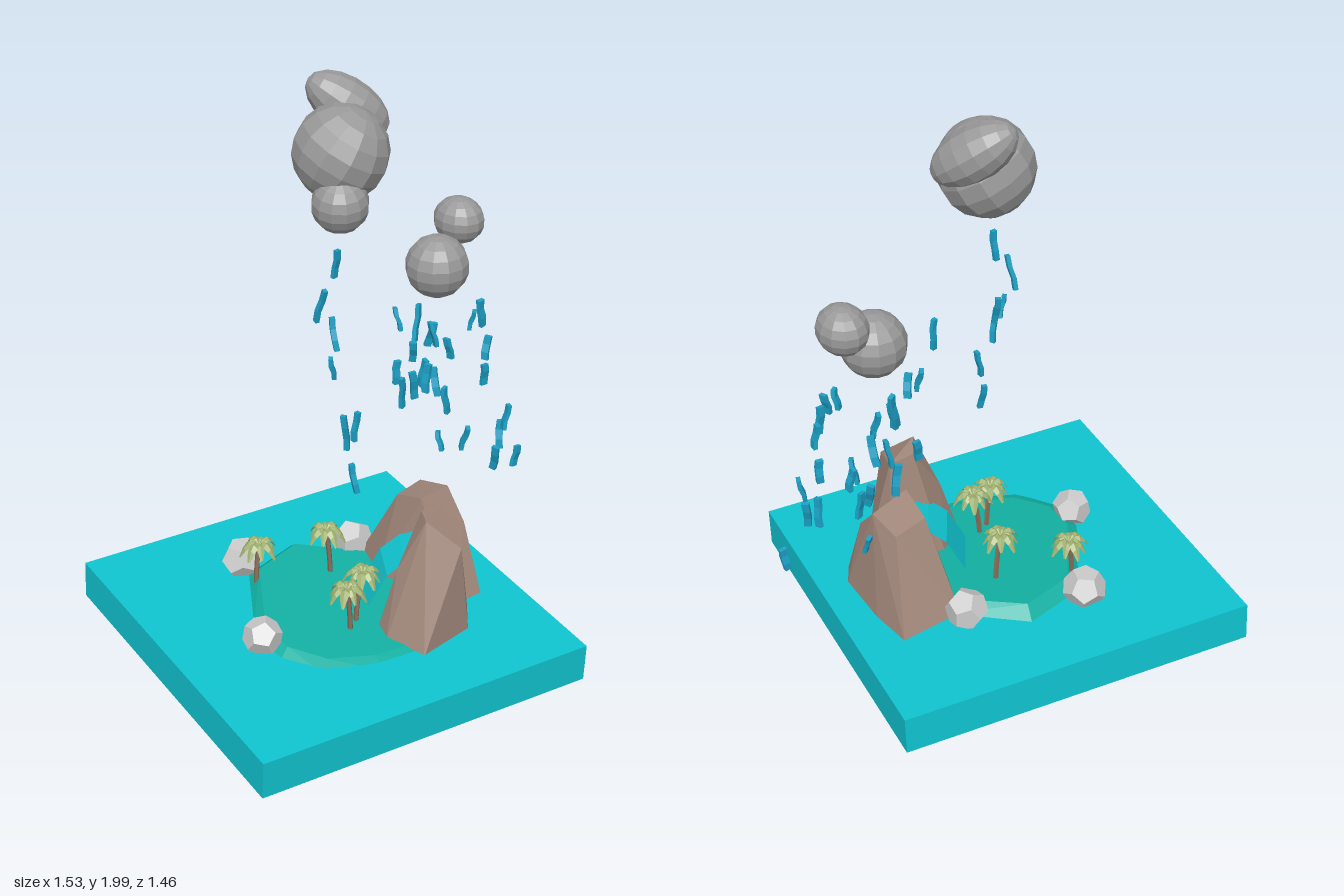
import * as THREE from 'three';
import { ConvexGeometry } from 'three/addons/geometries/ConvexGeometry.js';

const mat = (color, side = THREE.FrontSide) =>
  new THREE.MeshStandardMaterial({ color, flatShading: true, side });
const M = {
  water: mat(0x10c4d0), island: mat(0x12b0a2), rock: mat(0xa1877a), stone: mat(0xcccccc),
  cloud: mat(0x999999), rain: mat(0x1c9fc4), trunk: mat(0x8a6f5a),
  leaf: mat(0xa0b070, THREE.DoubleSide), fall: mat(0x10c4d0, THREE.DoubleSide),
};
const V = (x, y, z) => new THREE.Vector3(x, y, z);
// Height of the slightly tilted water surface
const ground = (x, z) => 0.17 - 0.0074 * (x + 0.03) - 0.0433 * z;

function add(parent, name, geometry, material, x = 0, y = 0, z = 0) {
  const mesh = new THREE.Mesh(geometry, material);
  mesh.name = name;
  mesh.position.set(x, y, z);
  parent.add(mesh);
  return mesh;
}

// Convex rock: footprint on the ground plus a few upper corners
function rock(parent, name, base, top) {
  const pts = base.map(([x, z]) => V(x, ground(x, z) - 0.01, z));
  add(parent, name, new ConvexGeometry([...pts, ...top.map((p) => V(...p))]), M.rock);
}

function palm(parent, [x, z, crown, lean]) {
  const g = new THREE.Group();
  g.name = 'palm';
  const y0 = ground(x, z) + 0.01;
  const head = V(x, crown, z);
  const path = new THREE.QuadraticBezierCurve3(
    V(x + lean, y0, z), V(x + lean * 0.9, (y0 + crown) / 2, z), head);
  add(g, 'trunk', new THREE.TubeGeometry(path, 4, 0.009, 5), M.trunk);
  // Drooping, folded fronds around the crown
  for (let i = 0; i < 9; i++) {
    const leaf = new THREE.PlaneGeometry(0.034, 0.075, 2, 4);
    const p = leaf.attributes.position;
    for (let k = 0; k < p.count; k++) {
      const t = (p.getY(k) + 0.0375) / 0.075;
      const w = p.getX(k) * (0.25 + 0.75 * Math.sin(Math.PI * Math.min(1, t * 0.95 + 0.05)));
      p.setXYZ(k, w, 0.055 * t * (1 - t) * 2 - 0.03 * t * t - Math.abs(w) * 0.6, t * 0.07);
    }
    leaf.computeVertexNormals();
    const frond = add(g, 'frond', leaf, M.leaf, head.x, head.y, head.z);
    frond.rotation.y = (i / 9) * Math.PI * 2 + x * 9;
    frond.scale.setScalar(i % 2 ? 0.85 : 1);
  }
  parent.add(g);
}

// Small bent streak of rain
function drop(parent, [x, y, z, h], i, width) {
  const geo = new THREE.BoxGeometry(width, h, 0.014, 1, 3, 1);
  const p = geo.attributes.position;
  for (let k = 0; k < p.count; k++) {
    const t = p.getY(k) / h;
    p.setX(k, p.getX(k) + 0.012 * (0.25 - t * t));
    p.setZ(k, p.getZ(k) + 0.008 * Math.sin(t * 4));
  }
  geo.computeVertexNormals();
  add(parent, 'raindrop', geo, M.rain, x, y, z)
    .rotation.set(0.12 * Math.sin(i * 2.3), i * 1.3, 0.15 * Math.sin(i * 1.7));
}

function puff(parent, name, r, x, y, z, tilt) {
  const m = add(parent, name, new THREE.SphereGeometry(r, 12, 9), M.cloud, x, y, z);
  m.rotation.set(...tilt);
  return m;
}

export function createModel() {
  const root = new THREE.Group();
  root.name = 'rainyIsland';

  // Tilted square slab of water
  const slab = new THREE.BoxGeometry(1, 1, 1);
  slab.applyMatrix4(new THREE.Matrix4().makeBasis(
    V(1.21, -0.02, 0.255), V(0.001, 0.135, 0.0058), V(-0.255, -0.05, 1.2)));
  add(root, 'waterSlab', slab, M.water, -0.033, 0.1025, -0.003);

  // Low faceted island, higher towards the back
  const shore = [[-0.13, -0.32], [0.1, -0.355], [0.21, -0.23], [0.33, -0.1], [0.35, 0.1],
    [0.28, 0.28], [0, 0.41], [-0.15, 0.37], [-0.31, 0.27], [-0.38, 0.12], [-0.36, -0.03]];
  const land = [];
  shore.forEach(([x, z]) => {
    land.push(V(x, ground(x, z) - 0.01, z));
    const u = x * 0.84 - 0.005, w = z * 0.84;
    land.push(V(u, ground(u, w) + 0.025 - 0.05 * w, w));
  });
  add(root, 'island', new ConvexGeometry(land), M.island);

  // Two mountains with a stream between them
  rock(root, 'frontMountain',
    [[0, 0.41], [0.22, 0.4], [0.32, 0.3], [0.29, 0.17], [0.1, 0.13], [-0.01, 0.2], [-0.04, 0.27]],
    [[0.11, 0.57, 0.3], [0.25, 0.55, 0.24], [0.16, 0.56, 0.23], [0.05, 0.38, 0.23], [0.18, 0.48, 0.395]]);
  rock(root, 'sideMountain',
    [[0.48, -0.16], [0.25, -0.16], [0.18, 0], [0.28, 0.28], [0.4, 0.29], [0.45, 0.22], [0.48, 0]],
    [[0.26, 0.52, 0.13], [0.41, 0.5, 0.11], [0.4, 0.475, -0.01], [0.27, 0.48, 0.01], [0.4, 0.4, 0.2]]);
  const stream = new THREE.PlaneGeometry(1, 1, 1, 3);
  const sp = stream.attributes.position;
  for (let k = 0; k < sp.count; k++) {
    const t = sp.getY(k) + 0.5, s = sp.getX(k) * 0.17;
    sp.setXYZ(k, 0.07 + 0.15 * t - s * 0.6, 0.2 + 0.2 * Math.sqrt(t), 0.06 + 0.11 * t + s * 0.8);
  }
  stream.computeVertexNormals();
  add(root, 'stream', stream, M.fall);

  // Pale boulders on the shore
  [[-0.12, -0.35, 0.075], [0.25, -0.19, 0.073], [-0.365, 0.025, 0.068]].forEach(([x, z, r], i) => {
    const b = add(root, 'boulder', new THREE.DodecahedronGeometry(r), M.stone, x, ground(x, z) + 0.04, z);
    b.rotation.set(0.55, i * 0.9, 0.1);
  });

  // Palms: x, z, crown height, trunk lean
  [[-0.14, -0.24, 0.34, -0.015], [-0.02, 0.14, 0.355, -0.03], [-0.11, 0.16, 0.34, 0.015],
    [0.05, -0.11, 0.375, 0.02]].forEach((p) => palm(root, p));

  // Clouds
  const big = new THREE.Group();
  big.name = 'bigCloud';
  puff(big, 'mainPuff', 0.155, 0.07, 1.77, -0.06, [0.5, 0.3, -0.4]);
  puff(big, 'lowerPuff', 0.092, 0, 1.638, 0.01, [0.1, 0, 0.1]);
  const top = puff(big, 'upperPuff', 1, 0.165, 1.88, -0.13, [0, 0, 0]);
  top.scale.set(0.085, 0.15, 0.085);
  top.quaternion.setFromUnitVectors(V(0, 1, 0), V(-1, 1, -1).normalize());
  const small = new THREE.Group();
  small.name = 'smallCloud';
  puff(small, 'mainPuff', 0.107, 0.463, 1.267, -0.013, [0, 0.1, 0]);
  const side = puff(small, 'sidePuff', 0.08, 0.59, 1.385, -0.04, [0, 0, 0]);
  side.scale.z = 1.13;
  root.add(big, small);

  // Rain: x, y, z, length
  const bigRain = [[-0.01, 1.435, 0, 0.1], [-0.075, 1.31, 0, 0.12], [-0.015, 1.19, 0, 0.11],
    [-0.1, 1.13, 0.08, 0.08], [-0.16, 0.97, 0.2, 0.13], [0.08, 1.025, 0.21, 0.11],
    [-0.035, 0.91, 0.12, 0.1], [-0.07, 0.745, 0.15, 0.1]];
  const smallRain = [[0.33, 1.1, -0.06, 0.08], [0.31, 1.02, 0.03, 0.08], [0.44, 1.04, -0.08, 0.13],
    [0.36, 0.91, 0.05, 0.1], [0.37, 0.87, -0.1, 0.08], [0.49, 0.99, -0.05, 0.09],
    [0.54, 0.95, -0.11, 0.1], [0.56, 1.06, 0.06, 0.07], [0.55, 0.99, 0.14, 0.08],
    [0.65, 1.04, 0.02, 0.1], [0.69, 1.02, -0.02, 0.08]];
  const lowRain = [[0.45, 0.79, -0.1, 0.11], [0.455, 0.68, 0.14, 0.09], [0.55, 0.77, -0.09, 0.1],
    [0.56, 0.71, -0.05, 0.1], [0.62, 0.87, -0.1, 0.08], [0.64, 0.82, 0.05, 0.08],
    [0.65, 0.69, 0.15, 0.09], [0.655, 0.61, 0.12, 0.1], [0.545, 0.55, -0.06, 0.07],
    [0.585, 0.56, 0.16, 0.1], [0.75, 0.48, 0.11, 0.08], [0.445, 0.86, -0.05, 0.1]];
  const rain = new THREE.Group();
  rain.name = 'rain';
  bigRain.forEach((d, i) => drop(rain, d, i, 0.018));
  [...smallRain, ...lowRain].forEach((d, i) => drop(rain, d, i + 8, 0.024));
  root.add(rain);
  return root;
}
